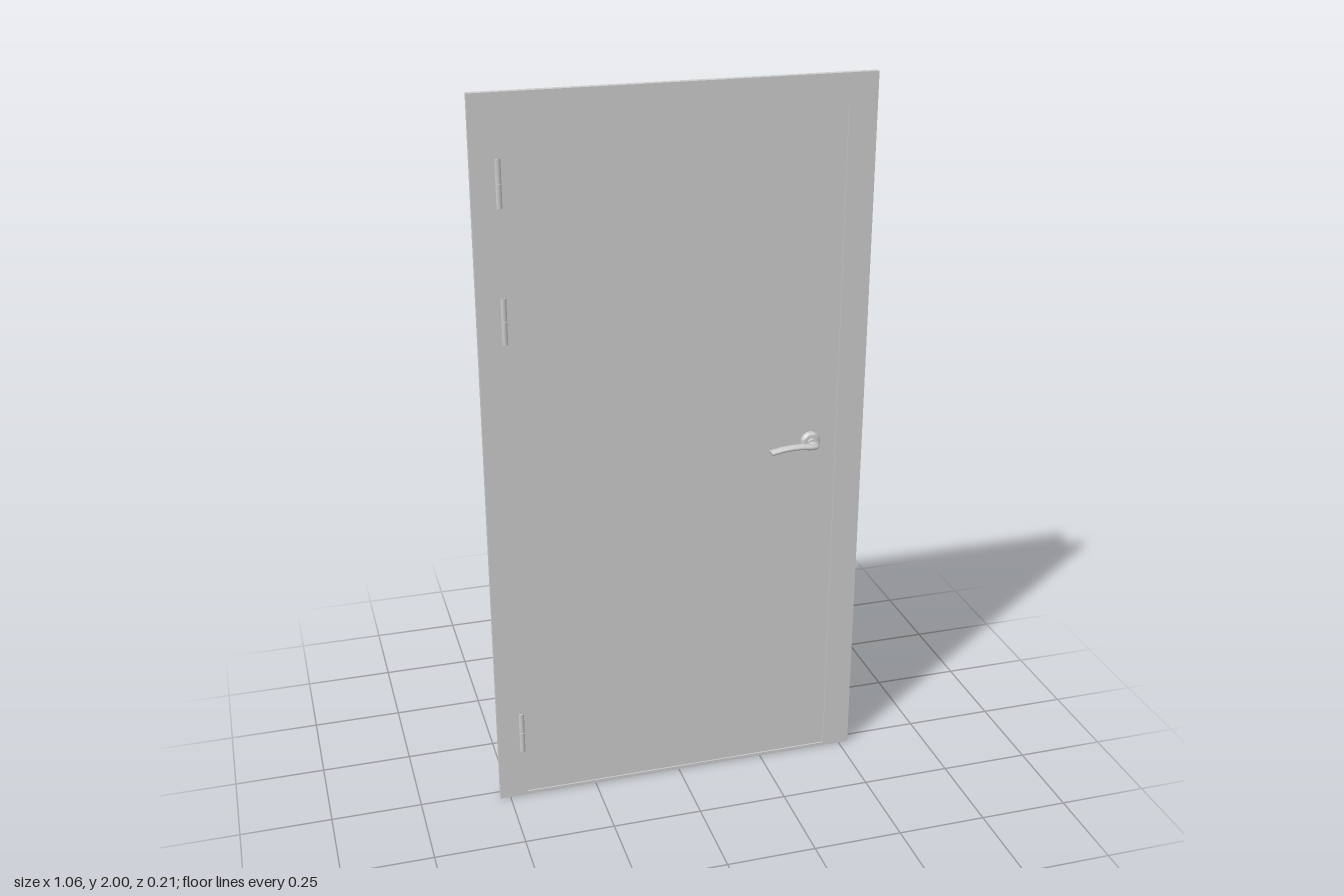
import * as THREE from 'three';
import { mergeGeometries, toCreasedNormals } from 'three/addons/utils/BufferGeometryUtils.js';

const material = new THREE.MeshStandardMaterial({ color: 0xcccccc });

function part(parent, name, geometry, x = 0, y = 0, z = 0) {
  const mesh = new THREE.Mesh(geometry, material);
  mesh.name = name;
  mesh.position.set(x, y, z);
  parent.add(mesh);
  return mesh;
}

// Rectangular ring: outer and inner are [half width, bottom, top]
function ring(outer, inner, z0, z1) {
  const corners = ([w, b, t]) => [[-w, b], [w, b], [w, t], [-w, t]].map(([x, y]) => new THREE.Vector2(x, y));
  const shape = new THREE.Shape(corners(outer));
  shape.holes.push(new THREE.Path(corners(inner)));
  return new THREE.ExtrudeGeometry(shape, { depth: z1 - z0, bevelEnabled: false }).translate(0, 0, z0);
}

// Turned part whose axis points along z, towards side (+1 front, -1 back)
function turned(profile, side) {
  const points = profile.map(([r, h]) => new THREE.Vector2(r, h));
  const geometry = new THREE.LatheGeometry(points, 32).rotateX(side * Math.PI / 2);
  return toCreasedNormals(geometry, 0.6);
}

const ROSE = [[0, 0], [0.027, 0], [0.027, 0.004], [0.022, 0.011], [0.014, 0.012], [0, 0.012]];

// Lever handle: flattened bar that leaves the rose and bends towards the hinges
function lever(side) {
  const flat = 0.58, radius = 0.0125;
  const path = new THREE.CatmullRomCurve3([
    [0, 0, 0.004], [0, 0, 0.034], [-0.004, 0.002, 0.046], [-0.016, 0.005, 0.053],
    [-0.045, 0.009, 0.054], [-0.09, 0.008, 0.054], [-0.132, 0.001, 0.054],
  ].map(([x, y, z]) => new THREE.Vector3(x, y / flat, side * z)));
  const tube = new THREE.TubeGeometry(path, 48, radius, 20);
  const end = path.getPoint(1);
  const turn = new THREE.Quaternion().setFromUnitVectors(new THREE.Vector3(0, 0, 1), path.getTangent(1));
  const cap = new THREE.CircleGeometry(radius, 20).applyQuaternion(turn).translate(end.x, end.y, end.z);
  return mergeGeometries([tube, cap]).scale(1, flat, 1);
}

function handle(name, side, z) {
  const group = new THREE.Group();
  group.name = name;
  group.position.set(0.375, 1, z);
  part(group, 'rose', turned(ROSE, side));
  part(group, 'neck', turned([[0.0125, 0], [0.0125, 0.022], [0, 0.022]], side));
  part(group, 'lever', lever(side));
  return group;
}

export function createModel() {
  const model = new THREE.Group();
  model.name = 'door';

  // Frame: wide front plate, recessed lining and rear flange
  const frame = new THREE.Group();
  frame.name = 'frame';
  model.add(frame);
  const rebate = [0.45, 0.01, 1.92];
  const opening = [0.417, 0.04, 1.885];
  const lining = [0.492, 0.01, 1.962];
  part(frame, 'frontPlate', ring([0.528, 0, 2], rebate, 0.016, 0.034));
  part(frame, 'lining', ring(lining, rebate, -0.04, 0.016));
  part(frame, 'doorStop', ring(lining, opening, -0.066, -0.04));
  part(frame, 'rearFlange', ring([0.498, 0.005, 1.968], opening, -0.084, -0.066));

  // Door leaf, set slightly back from the front plate
  const front = 0.03, back = -0.04;
  part(model, 'leaf', new THREE.BoxGeometry(0.9, 1.91, front - back), 0, 0.965, (front + back) / 2);

  // Hinges: two knuckles each, half sunk in the plate
  for (const y of [0.207, 1.423, 1.777]) {
    const hinge = new THREE.Group();
    hinge.name = 'hinge';
    hinge.position.set(-0.459, y, 0.029);
    for (const s of [-1, 1]) {
      part(hinge, 'knuckle', new THREE.CylinderGeometry(0.009, 0.009, 0.061, 20), 0, s * 0.0315, 0);
    }
    model.add(hinge);
  }

  // Handles on both faces
  model.add(handle('frontHandle', 1, front + 0.004));
  model.add(handle('backHandle', -1, back));
  part(model, 'frontRoseBase', turned([[0, 0], [0.027, 0], [0.027, 0.005]], 1), 0.375, 1, front);

  // Thumb turn on the back
  const lock = new THREE.Group();
  lock.name = 'thumbTurn';
  lock.position.set(0.375, 1.232, back);
  part(lock, 'rose', turned(ROSE, -1));
  part(lock, 'stem', turned([[0.009, 0], [0.009, 0.018], [0, 0.018]], -1));
  part(lock, 'knob', new THREE.BoxGeometry(0.009, 0.03, 0.018), 0, 0, -0.024);
  model.add(lock);

  return model;
}
